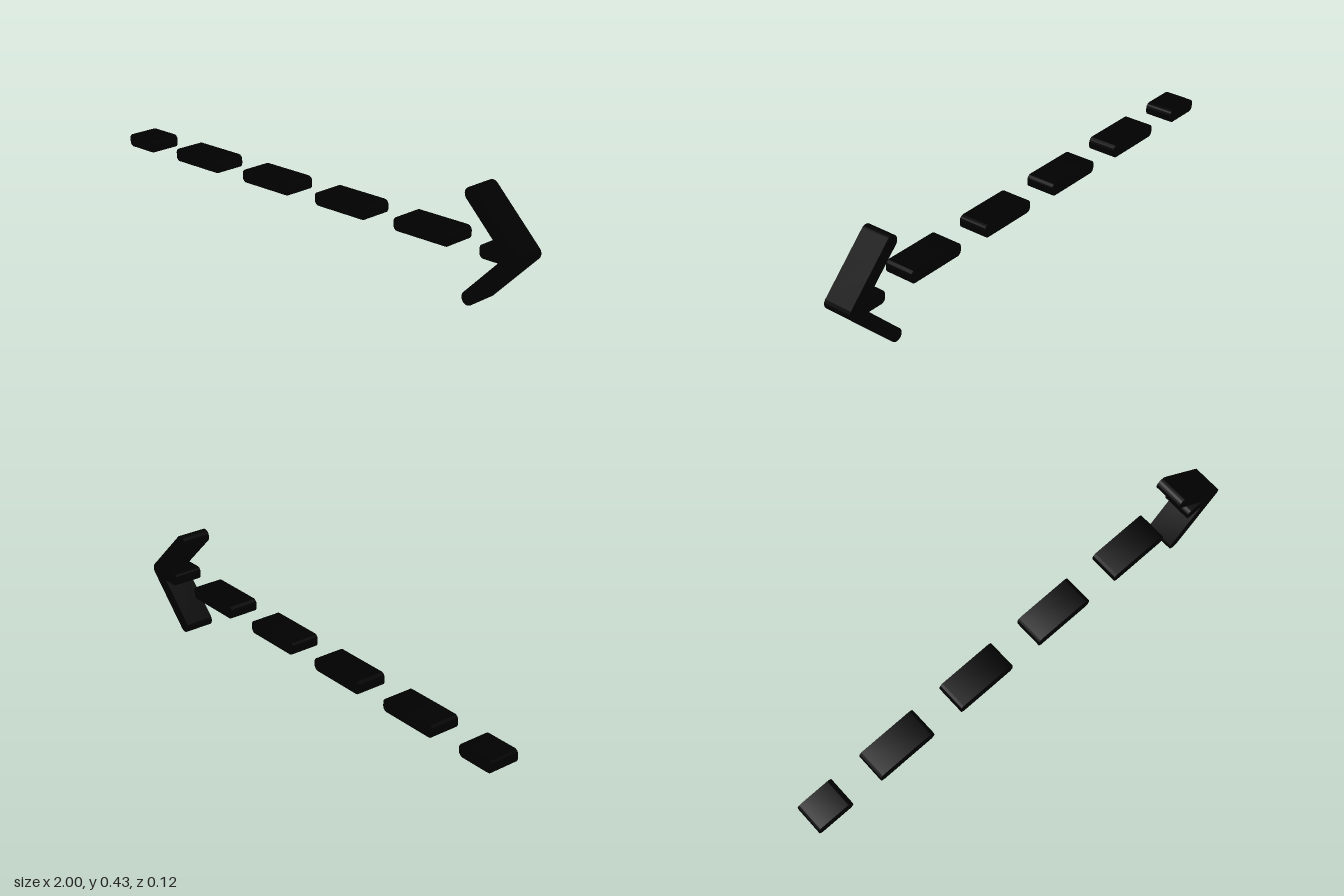
import * as THREE from 'three';
import { toCreasedNormals } from 'three/addons/utils/BufferGeometryUtils.js';

const DEPTH = 0.118;   // thickness along z
const MID = 0.2125;    // height of the arrow's axis
const R = 0.026;       // half the stroke width

const material = new THREE.MeshStandardMaterial({ color: 0x000000 });

// Extrudes an outline through z, centred, with smooth rounded corners
function slab(name, shape) {
  const geometry = new THREE.ExtrudeGeometry(shape, { depth: DEPTH, bevelEnabled: false, curveSegments: 8 });
  geometry.translate(0, 0, -DEPTH / 2);
  const mesh = new THREE.Mesh(toCreasedNormals(geometry, 0.6), material);
  mesh.name = name;
  return mesh;
}

// Rounded bar from x0 to x1 on the axis
function dashShape(x0, x1, r = 0.019) {
  const y0 = MID - R, y1 = MID + R;
  const s = new THREE.Shape();
  s.moveTo(x0 + r, y0);
  s.absarc(x1 - r, y0 + r, r, -Math.PI / 2, 0);
  s.absarc(x1 - r, y1 - r, r, 0, Math.PI / 2);
  s.absarc(x0 + r, y1 - r, r, Math.PI / 2, Math.PI);
  s.absarc(x0 + r, y0 + r, r, Math.PI, Math.PI * 1.5);
  return s;
}

// Chevron stroke with rounded ends and a rounded tip
function headShape() {
  const tip = 1 - R, arm = MID - R, q = Math.PI / 4;
  const back = tip - arm;
  const s = new THREE.Shape();
  s.absarc(tip, MID, R, -q, q);
  s.absarc(back, MID + arm, R, q, 5 * q);
  s.lineTo(tip - R * Math.SQRT2, MID);
  s.absarc(back, MID - arm, R, 3 * q, 7 * q);
  s.closePath();
  return s;
}

export function createModel() {
  const group = new THREE.Group();
  group.name = 'dashedArrow';

  // Short tail dash, four evenly spaced dashes, and the stub inside the head
  group.add(slab('tailDash', dashShape(-1, -0.842)));
  for (let i = 0; i < 4; i++) {
    const x = -0.711 + i * 0.386;
    group.add(slab('dash' + (i + 1), dashShape(x, x + 0.256)));
  }
  group.add(slab('headDash', dashShape(0.832, 0.97)));

  group.add(slab('arrowHead', headShape()));
  return group;
}
